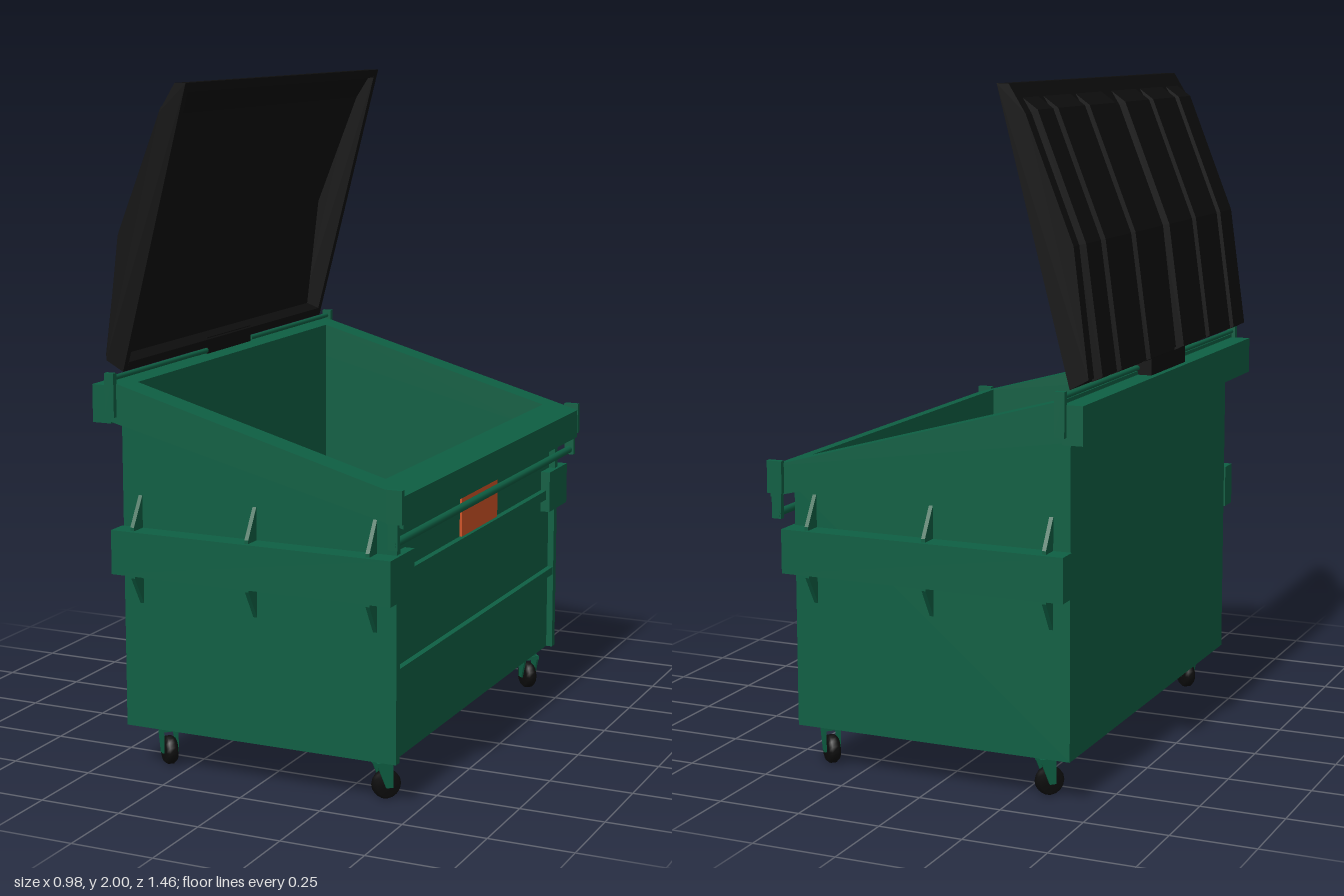
import * as THREE from 'three';

export function createModel() {
  const model = new THREE.Group();
  const paint = (name, color, side = THREE.FrontSide) => {
    const m = new THREE.MeshStandardMaterial({ color, side });
    m.name = name;
    return m;
  };
  const green = paint('green steel', 0x0e5f43);
  const black = paint('black plastic', 0x0d0d0d);
  const orange = paint('orange label', 0xcf5225);

  const add = (name, geo, mat, parent = model) => {
    const mesh = new THREE.Mesh(geo, mat);
    mesh.name = name;
    parent.add(mesh);
    return mesh;
  };
  // Box given by its extents
  const box = (name, mat, x0, x1, y0, y1, z0, z1, parent = model) =>
    add(name, new THREE.BoxGeometry(x1 - x0, y1 - y0, z1 - z0)
      .translate((x0 + x1) / 2, (y0 + y1) / 2, (z0 + z1) / 2), mat, parent);
  // Profile in x,y extruded from z0 to z1
  const slab = (pts, z0, z1) => new THREE.ExtrudeGeometry(
    new THREE.Shape(pts.map(p => new THREE.Vector2(...p))),
    { depth: z1 - z0, bevelEnabled: false }).translate(0, 0, z0);
  const rod = (name, mat, r, x, y, z0, z1) =>
    add(name, new THREE.CylinderGeometry(r, r, z1 - z0, 8).rotateX(Math.PI / 2)
      .translate(x, y, (z0 + z1) / 2), mat);

  // Heights of the sloping rim
  const rimTop = x => 1.045 - 0.276 * x;
  const rimBottom = x => 0.941 - 0.247 * x;

  // Container: floor, back, recessed front and sloping sides
  box('floor', green, -0.42, 0.42, 0.13, 0.15, -0.63, 0.63);
  box('backWall', green, -0.42, -0.38, 0.13, 1.06, -0.63, 0.63);
  box('frontPanel', green, 0.395, 0.42, 0.13, 0.85, -0.63, 0.63);
  const side = [[-0.42, 0.13], [0.44, 0.13], [0.44, rimBottom(0.44) + 0.01], [-0.42, rimBottom(-0.42) + 0.01]];
  add('leftWall', slab(side, 0.63, 0.655), green);
  add('rightWall', slab(side, -0.655, -0.63), green);

  // Front ribs and label
  box('lowerRib', green, 0.42, 0.438, 0.375, 0.4, -0.63, 0.63);
  box('upperRib', green, 0.42, 0.438, 0.64, 0.67, -0.63, 0.63);
  box('label', orange, 0.42, 0.427, 0.67, 0.84, -0.145, 0.145);

  // Rim: flat frame moved onto the slope
  const frame = new THREE.Shape([[-0.42, -0.715], [0.485, -0.715], [0.485, 0.715], [-0.42, 0.715]]
    .map(p => new THREE.Vector2(...p)));
  frame.holes.push(new THREE.Path([[-0.38, -0.63], [-0.38, 0.63], [0.395, 0.63], [0.395, -0.63]]
    .map(p => new THREE.Vector2(...p))));
  const rim = new THREE.ExtrudeGeometry(frame, { depth: 1, bevelEnabled: false }).rotateX(-Math.PI / 2);
  const pos = rim.attributes.position;
  for (let i = 0; i < pos.count; i++) {
    const x = pos.getX(i);
    pos.setY(i, pos.getY(i) > 0.5 ? rimTop(x) : rimBottom(x));
  }
  rim.computeVertexNormals();
  add('rim', rim, green);
  box('backRail', green, -0.48, -0.42, 1.04, 1.15, -0.715, 0.715);
  rod('frontRod', green, 0.012, 0.458, 0.778, -0.73, 0.73);

  // Triangular gusset: points are (z, y), thickness along x
  const gusset = (name, pts, x) =>
    add(name, slab(pts, -0.006, 0.006).rotateY(-Math.PI / 2).translate(x, 0, 0), green);

  for (const s of [-1, 1]) {
    const span = (a, b) => (s > 0 ? [a, b] : [-b, -a]);
    // Lugs and hinge rod
    box('backLug', green, -0.432, -0.402, 1.06, 1.187, ...span(0.712, 0.73));
    box('frontLug', green, 0.44, 0.487, 0.835, 0.93, ...span(0.712, 0.73));
    box('rodLug', green, 0.444, 0.474, 0.762, 0.84, ...span(0.712, 0.728));
    rod('hingeRod', green, 0.008, -0.418, 1.17, ...span(0.145, 0.73));
    // Lifting pocket wrapped around the front corner
    box('liftPocket', green, -0.425, 0.45, 0.6, 0.73, ...span(0.655, 0.72));
    box('pocketPlate', green, 0.42, 0.45, 0.6, 0.73, ...span(0.555, 0.655));
    for (const x of [-0.363, 0.004, 0.375]) {
      gusset('upperGusset', [[0.65 * s, 0.725], [0.706 * s, 0.725], [0.706 * s, 0.74], [0.655 * s, 0.825], [0.65 * s, 0.825]], x);
      gusset('lowerGusset', [[0.65 * s, 0.605], [0.706 * s, 0.605], [0.706 * s, 0.59], [0.655 * s, 0.505], [0.65 * s, 0.505]], x);
    }
  }

  // Open lid: hollow moulded shell, end caps and raised panels
  const lid = new THREE.Group();
  lid.name = 'lid';
  model.add(lid);
  const outer = [[-0.415, 1.18], [-0.47, 1.21], [-0.425, 1.57], [-0.285, 1.92], [-0.235, 2], [-0.2, 2]];
  const inner = [[-0.207, 1.975], [-0.225, 1.975], [-0.268, 1.91], [-0.407, 1.565], [-0.45, 1.22], [-0.408, 1.205]];
  add('lidShell', slab([...outer, ...inner], -0.63, 0.63), black, lid);
  add('lidEnd', slab(outer, 0.63, 0.652), black, lid);
  add('lidEnd', slab(outer, -0.652, -0.63), black, lid);
  const panel = [[-0.465, 1.2], [-0.495, 1.215], [-0.445, 1.575], [-0.303, 1.93], [-0.25, 1.968], [-0.28, 1.92], [-0.42, 1.57]];
  for (const [a, b] of [[0.04, 0.24], [0.275, 0.47], [0.505, 0.612]]) {
    add('lidPanel', slab(panel, a, b), black, lid);
    add('lidPanel', slab(panel, -b, -a), black, lid);
  }
  box('lidHinge', black, -0.462, -0.415, 1.15, 1.21, -0.145, 0.145, lid);

  // Swivel casters, each turned to face its corner
  const tyre = new THREE.LatheGeometry([[0, -0.018], [0.034, -0.018], [0.042, -0.009], [0.042, 0.009], [0.034, 0.018], [0, 0.018]]
    .map(p => new THREE.Vector2(...p)), 16).rotateX(Math.PI / 2);
  const forkSide = [[-0.035, 0.105], [0.012, 0.105], [0.012, 0.036], [-0.008, 0.036]];
  for (const x of [-0.325, 0.375]) for (const z of [-0.575, 0.575]) {
    const caster = new THREE.Group();
    caster.name = 'caster';
    caster.position.set(x, 0, z);
    caster.rotation.y = Math.atan2(Math.sign(x), Math.sign(z));
    add('wheel', tyre, black, caster).position.y = 0.042;
    add('forkSide', slab(forkSide, 0.019, 0.025), green, caster);
    add('forkSide', slab(forkSide, -0.025, -0.019), green, caster);
    box('forkTop', green, -0.035, 0.012, 0.1, 0.112, -0.025, 0.025, caster);
    box('mount', green, -0.03, 0.008, 0.11, 0.132, -0.018, 0.018, caster);
    model.add(caster);
  }
  return model;
}
